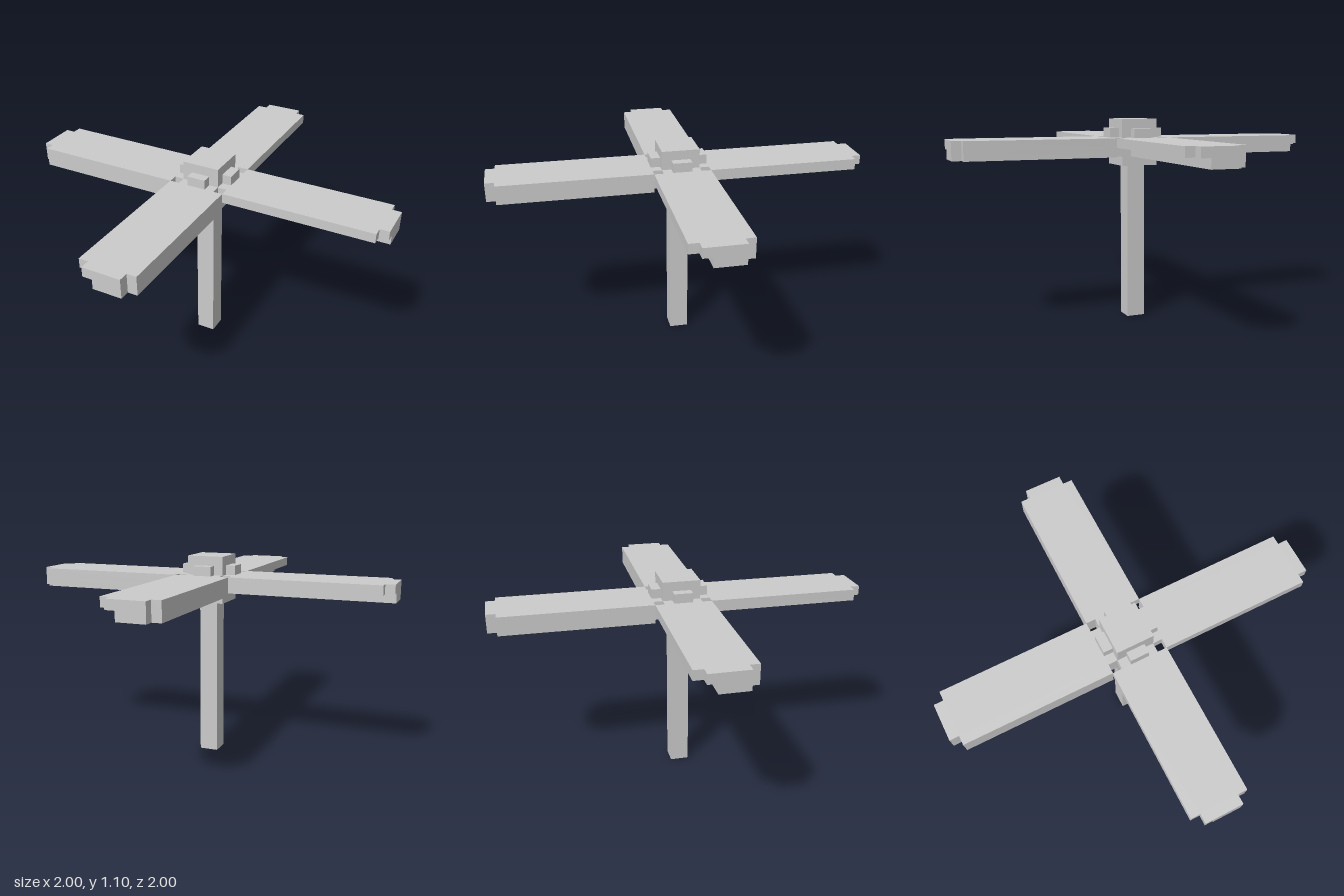
import * as THREE from 'three';

const material = new THREE.MeshStandardMaterial({ color: 0xcccccc, flatShading: true });

function addBox(parent, name, [w, h, d], [x, y, z]) {
  const mesh = new THREE.Mesh(new THREE.BoxGeometry(w, h, d), material);
  mesh.name = name;
  mesh.position.set(x, y, z);
  parent.add(mesh);
}

// Flat slab from an outline given as [x, z] points, with its top at the given height
function addSlab(parent, name, outline, thickness, top) {
  const shape = new THREE.Shape(outline.map(([x, z]) => new THREE.Vector2(x, z)));
  const geometry = new THREE.ExtrudeGeometry(shape, { depth: thickness, bevelEnabled: false });
  geometry.rotateX(Math.PI / 2);
  geometry.translate(0, top, 0);
  const mesh = new THREE.Mesh(geometry, material);
  mesh.name = name;
  parent.add(mesh);
}

export function createModel() {
  const model = new THREE.Group();
  model.name = 'fourBladedRotor';

  addBox(model, 'post', [0.1, 0.85, 0.1], [0, 0.425, 0]);
  addBox(model, 'hub', [0.2, 0.25, 0.2], [0, 0.975, 0]);

  // Notched corners along the right edge, shared by both blade layers
  const rightEdge = [[0.1, 0.1], [0.1, 0.15], [0.15, 0.15], [0.15, 0.95], [0.1, 0.95], [0.1, 1]];
  const leftEdge = rightEdge.map(([x, z]) => [-x, z]).reverse();

  for (let i = 0; i < 4; i++) {
    const blade = new THREE.Group();
    blade.name = 'blade' + (i + 1);
    // Full-width upper layer over a lower layer that is cut back on one side
    addSlab(blade, 'bladeTop', [...rightEdge, ...leftEdge], 0.05, 1);
    addSlab(blade, 'bladeUnderside', [...rightEdge, [-0.05, 1], [-0.05, 0.1]], 0.05, 0.95);
    // Small stud on the hub above the blade root
    addBox(blade, 'hubStud', [0.1, 0.05, 0.05], [0, 1.025, 0.125]);
    blade.rotation.y = i * Math.PI / 2;
    model.add(blade);
  }
  return model;
}
